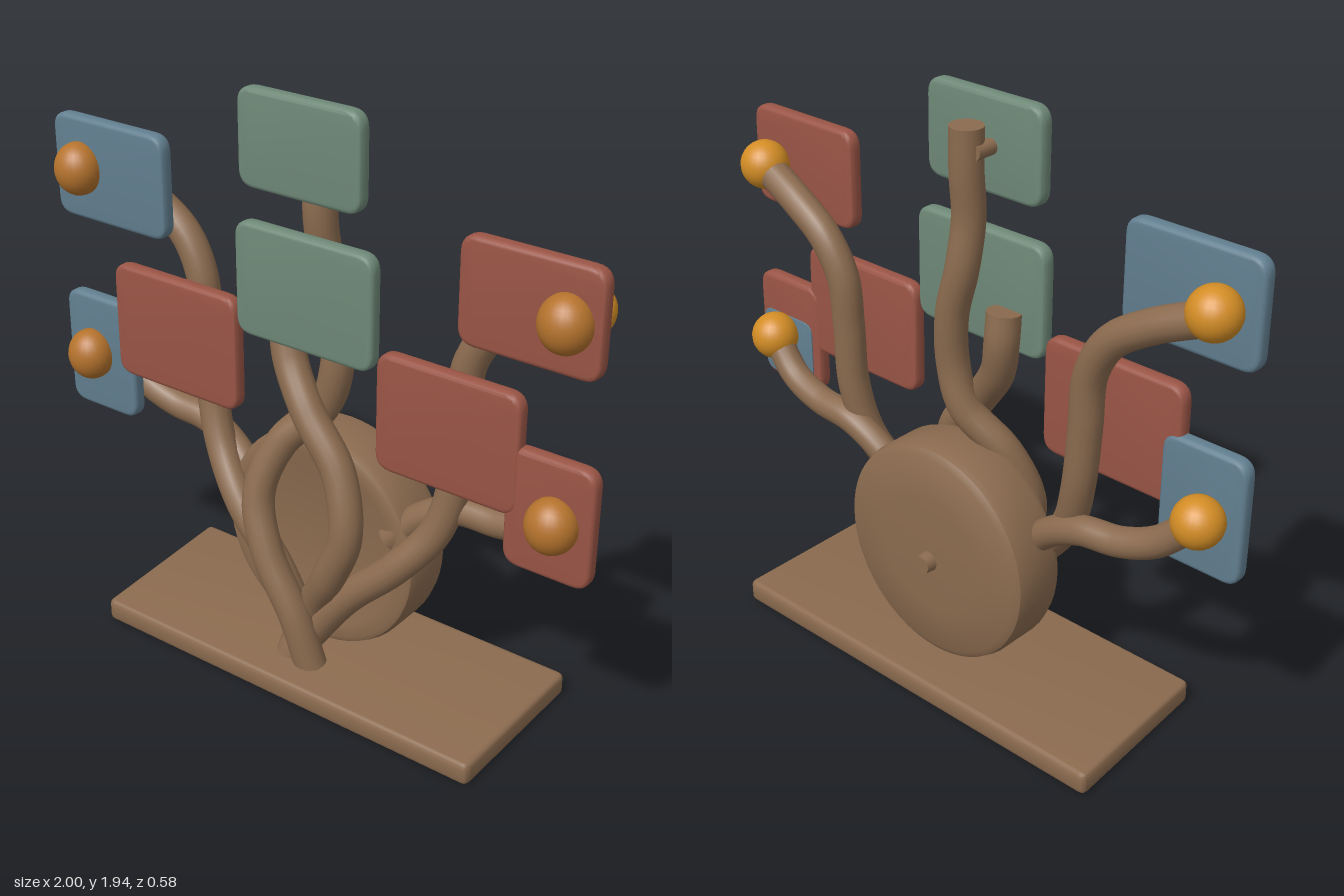
import * as THREE from 'three';
import { toCreasedNormals } from 'three/addons/utils/BufferGeometryUtils.js';

export function createModel() {
  const root = new THREE.Group();
  root.name = 'branchingPanelStand';

  const mat = (name, color) => {
    const m = new THREE.MeshStandardMaterial({ color });
    m.name = name;
    return m;
  };
  const wood = mat('brown wood', 0x8b6b4f);
  const blue = mat('slate blue', 0x627f90);
  const red = mat('brick red', 0x9a5546);
  const green = mat('sage green', 0x6f8978);
  const orange = mat('bright orange', 0xd38d25);
  const amber = mat('dark amber', 0xb5732d);

  const add = (name, geo, material, x = 0, y = 0, z = 0) => {
    const m = new THREE.Mesh(geo, material);
    m.name = name;
    m.position.set(x, y, z);
    root.add(m);
    return m;
  };

  // Slab with rounded corners and soft edges, centred on z = 0
  const slab = (pts, r, depth, bevel) => {
    const v = pts.map((p) => new THREE.Vector2(p[0], p[1]));
    const s = new THREE.Shape();
    v.forEach((p, i) => {
      const before = v[(i + v.length - 1) % v.length];
      const after = v[(i + 1) % v.length];
      const a = p.clone().add(before.clone().sub(p).setLength(r));
      const b = p.clone().add(after.clone().sub(p).setLength(r));
      if (i === 0) s.moveTo(a.x, a.y);
      else s.lineTo(a.x, a.y);
      s.quadraticCurveTo(p.x, p.y, b.x, b.y);
    });
    s.closePath();
    const g = new THREE.ExtrudeGeometry(s, {
      depth: depth - 2 * bevel, bevelEnabled: true, bevelSize: bevel, bevelOffset: -bevel,
      bevelThickness: bevel, bevelSegments: 3, curveSegments: 6,
    });
    g.translate(0, 0, bevel - depth / 2);
    return toCreasedNormals(g, 0.6);
  };
  const rect = (x0, y0, x1, y1) => [[x0, y0], [x1, y0], [x1, y1], [x0, y1]];

  // Base board, slightly skewed on its left end
  const base = slab([[-0.71, -0.29], [0.75, -0.29], [0.75, 0.295], [-0.75, 0.295]], 0.025, 0.075, 0.015);
  base.rotateX(-Math.PI / 2);
  add('baseBoard', base, wood, 0, 0.045, 0);

  // Upright disc with a shallow dished front and a slightly domed back
  const profile = [[0, -0.17], [0.2, -0.168], [0.34, -0.16], [0.363, -0.145], [0.37, -0.12],
    [0.37, 0.01], [0.362, 0.032], [0.345, 0.04], [0.3, 0.036], [0.22, 0.02], [0, 0.015]];
  const disc = new THREE.LatheGeometry(profile.map((p) => new THREE.Vector2(p[0], p[1])), 56);
  disc.rotateX(Math.PI / 2);
  disc.scale(1, 1.02, 1);
  add('disc', toCreasedNormals(disc, 0.7), wood, 0, 0.47, 0);

  const knob = new THREE.CylinderGeometry(0.03, 0.035, 0.05, 16);
  knob.rotateX(-Math.PI / 2);
  add('discKnob', knob, wood, 0, 0.45, -0.18);

  // Curved branches, closed at both ends
  const branch = (name, pts, r) => {
    const g = new THREE.Group();
    g.name = name;
    const curve = new THREE.CatmullRomCurve3(pts.map((p) => new THREE.Vector3(...p)));
    const tube = new THREE.Mesh(new THREE.TubeGeometry(curve, 72, r, 16), wood);
    tube.name = name + 'Tube';
    g.add(tube);
    [0, 1].forEach((t) => {
      const cap = new THREE.Mesh(new THREE.CircleGeometry(r, 16), wood);
      cap.name = name + 'Cap';
      const p = curve.getPointAt(t);
      const d = curve.getTangentAt(t).multiplyScalar(t ? 1 : -1);
      cap.position.copy(p);
      cap.quaternion.setFromUnitVectors(new THREE.Vector3(0, 0, 1), d);
      g.add(cap);
    });
    root.add(g);
  };
  branch('tallStrand', [[0.06, 0.07, 0.15], [0.0, 0.25, 0.16], [-0.11, 0.44, 0.155], [-0.17, 0.62, 0.12],
    [-0.12, 0.8, 0.06], [0.0, 0.94, 0.0], [0.045, 1.08, -0.005], [0.04, 1.25, -0.015],
    [0.0, 1.42, -0.012], [-0.01, 1.58, 0.005], [-0.01, 1.72, -0.005], [-0.01, 1.86, -0.005]], 0.053);
  branch('shortStrand', [[-0.03, 0.07, 0.13], [0.02, 0.25, 0.09], [0.12, 0.43, 0.13], [0.18, 0.6, 0.13],
    [0.13, 0.79, 0.1], [0.0, 0.95, 0.08], [-0.1, 1.09, 0.04], [-0.13, 1.2, 0.02], [-0.13, 1.3, 0.03]], 0.055);
  branch('rightUpperArm', [[0.01, 0.12, 0.09], [-0.12, 0.35, 0.09], [-0.29, 0.53, 0.07], [-0.41, 0.69, 0.02],
    [-0.465, 0.86, -0.01], [-0.485, 1.06, -0.015], [-0.5, 1.24, -0.02], [-0.57, 1.37, -0.025],
    [-0.7, 1.46, -0.02], [-0.88, 1.54, 0]], 0.052);
  branch('leftUpperArm', [[0.0, 0.12, 0.09], [0.16, 0.34, 0.09], [0.33, 0.51, 0.07], [0.44, 0.66, 0.02],
    [0.485, 0.85, -0.01], [0.495, 1.06, -0.015], [0.51, 1.23, -0.02], [0.58, 1.35, -0.025],
    [0.7, 1.43, -0.02], [0.88, 1.51, 0]], 0.052);
  branch('rightLowerArm', [[-0.28, 0.57, 0.0], [-0.38, 0.66, -0.02], [-0.5, 0.72, -0.03], [-0.64, 0.74, -0.025],
    [-0.76, 0.79, -0.015], [-0.88, 0.9, 0]], 0.048);
  branch('leftLowerArm', [[0.26, 0.56, 0.0], [0.36, 0.66, -0.02], [0.48, 0.725, -0.03], [0.64, 0.74, -0.025],
    [0.77, 0.785, -0.015], [0.88, 0.9, 0]], 0.048);

  // Peg joining the tall strand to the top panel
  const peg = new THREE.CylinderGeometry(0.025, 0.025, 0.1, 12);
  peg.rotateX(Math.PI / 2);
  add('topPeg', peg, wood, -0.05, 1.79, 0.03);

  // Panels: name, colour, x0, y0, x1, y1, z
  const panels = [
    ['rightUpperPanel', blue, -1.0, 1.38, -0.54, 1.72, 0.077],
    ['rightLowerPanel', blue, -1.0, 0.7, -0.71, 1.11, 0.074],
    ['rightInnerPanel', red, -0.77, 0.87, -0.265, 1.26, 0.08],
    ['topPanel', green, -0.24, 1.64, 0.205, 1.945, 0.08],
    ['middlePanel', green, -0.26, 1.16, 0.25, 1.53, 0.08],
    ['leftInnerPanel', red, 0.265, 0.86, 0.755, 1.245, 0.08],
    ['leftUpperPanel', red, 0.535, 1.35, 0.985, 1.68, 0.08],
    ['leftLowerPanel', red, 0.715, 0.7, 1.0, 1.085, 0.076],
  ];
  panels.forEach(([name, m, x0, y0, x1, y1, z]) => {
    add(name, slab(rect(x0, y0, x1, y1), 0.055, 0.05, 0.014), m, 0, 0, z);
  });

  // Blue patch on the back of the left lower panel
  add('backPatch', slab(rect(0.75, 0.715, 0.985, 0.95), 0.04, 0.006, 0.001), blue, 0, 0, 0.05);

  // Ball joints on both faces of the outer panels
  [[-0.885, 1.555], [-0.885, 0.905], [0.88, 1.51], [0.88, 0.89]].forEach(([x, y]) => {
    const front = add('frontBall', new THREE.SphereGeometry(0.08, 24, 16), amber, x, y, 0.115);
    front.scale.set(1, 1.08, 0.95);
    add('backBall', new THREE.SphereGeometry(0.08, 24, 16), orange, x, y, 0.0);
  });

  return root;
}
